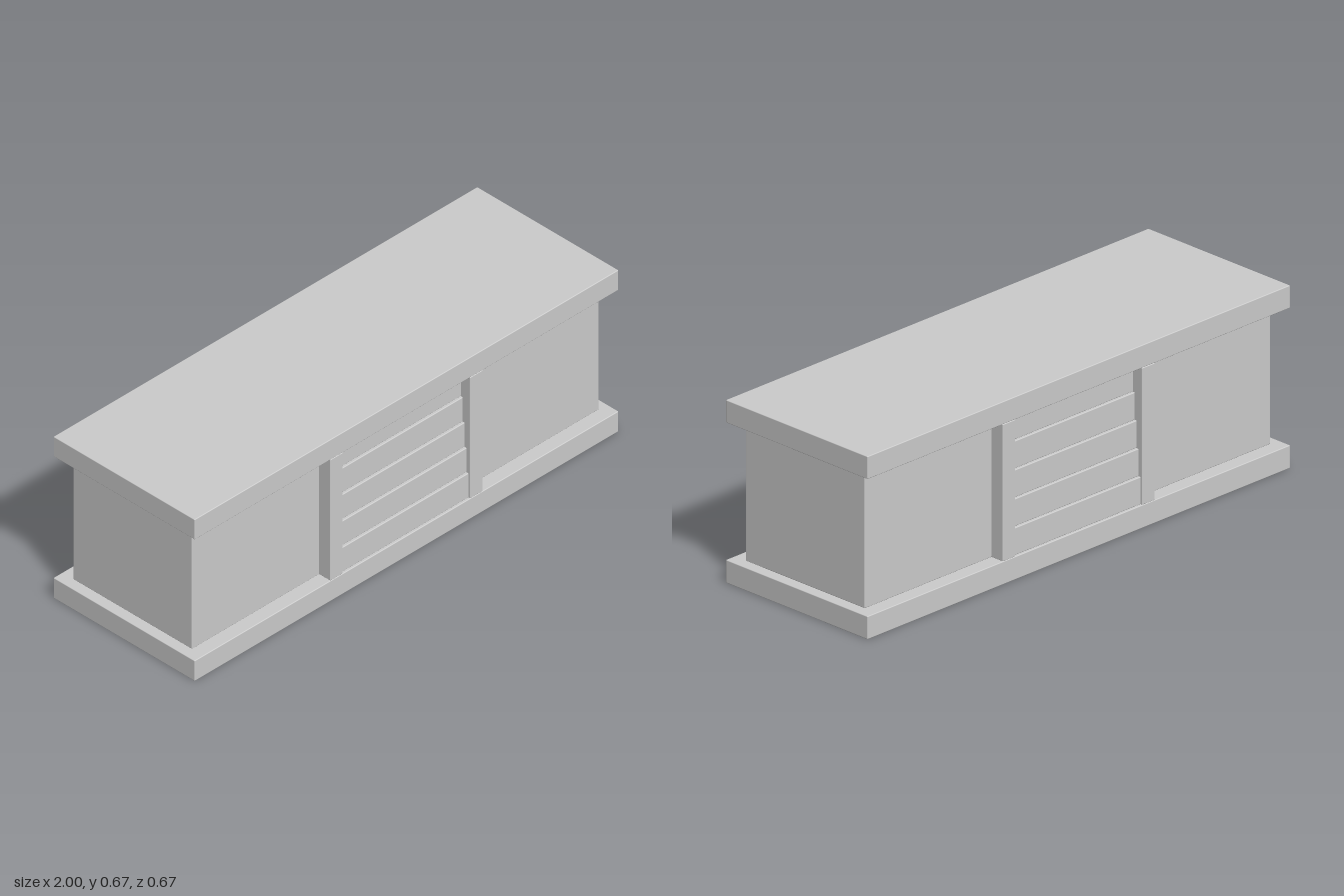
import * as THREE from 'three';
import { RoundedBoxGeometry } from 'three/addons/geometries/RoundedBoxGeometry.js';

export function createModel() {
  const model = new THREE.Group();
  model.name = 'sideboard';
  const stone = new THREE.MeshStandardMaterial({ color: 0xcccccc });
  stone.name = 'pale grey';

  // Softly bevelled block, positioned by its centre x and its bottom y
  const block = (name, width, height, depth, x, y) => {
    const mesh = new THREE.Mesh(new RoundedBoxGeometry(width, height, depth, 2, 0.003), stone);
    mesh.name = name;
    mesh.position.set(x, y + height / 2, 0);
    model.add(mesh);
  };

  // Base and top slabs
  block('base', 2, 0.084, 0.667, 0, 0);
  block('top', 2, 0.083, 0.667, 0, 0.584);

  // End cabinets and the upright posts beside the middle bay
  for (const [side, s] of [['left', 1], ['right', -1]]) {
    block(`${side}Cabinet`, 0.63, 0.5, 0.56, s * 0.645, 0.084);
    block(`${side}Post`, 0.06, 0.5, 0.667, s * 0.33, 0.084);
  }

  // Middle bay: five boards, each set back a little from the one below
  for (let i = 0; i < 5; i++) {
    block(`board${i + 1}`, 0.61, 0.1, 0.65 - i * 0.018, 0, 0.084 + i * 0.1);
  }
  return model;
}
